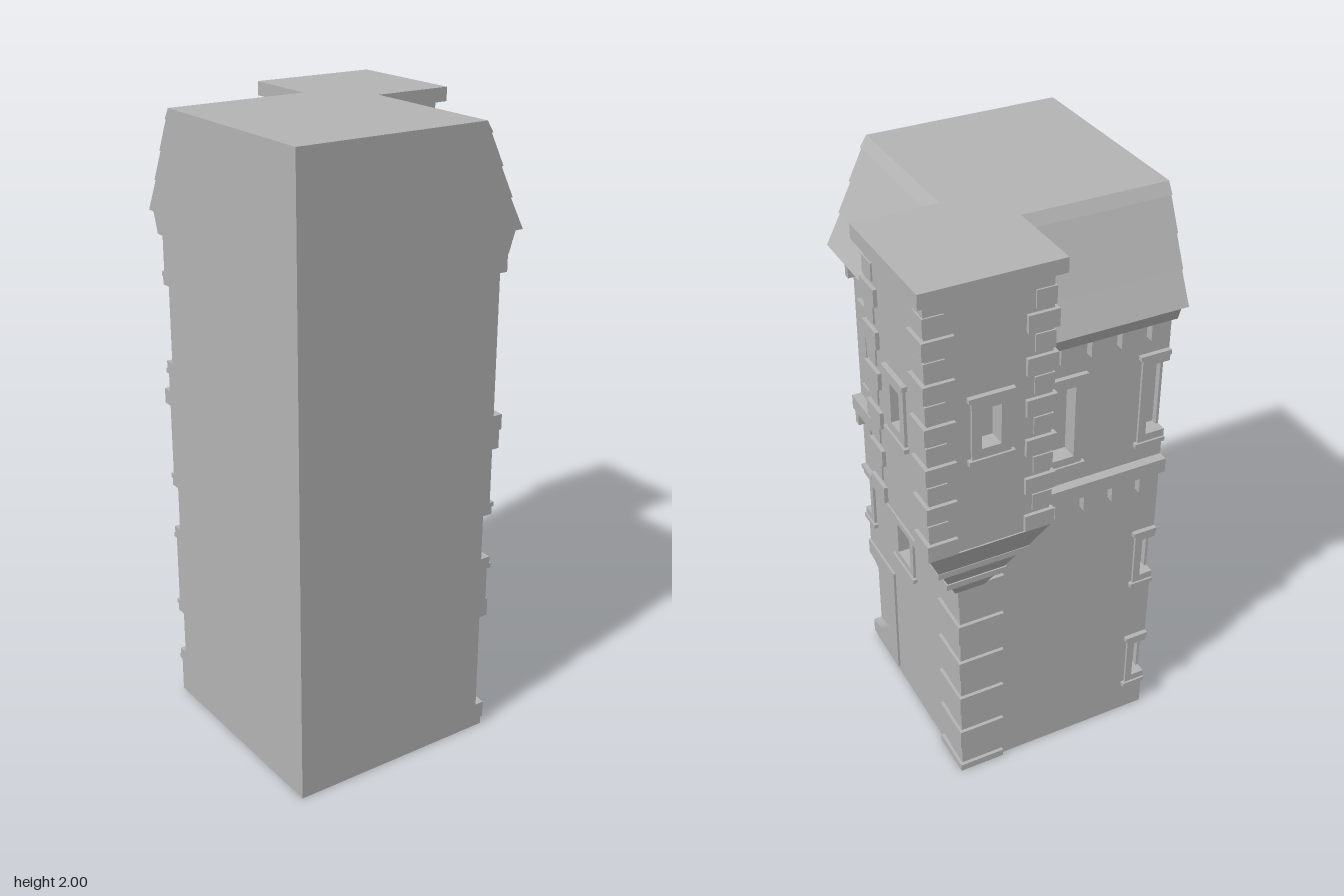
import * as THREE from 'three';

// Outer corner of the two decorated walls, and the corner turret's centre
const CX = 0.255, CZ = -0.275, TX = 0.235, TZ = -0.255, TR = 0.19;
const LENGTH = [0.745, 0.705];   // wall lengths measured from the corner
const DEPTH = 0.045;             // window recess

export function createModel() {
  const model = new THREE.Group();
  model.name = 'cornerTowerBuilding';
  const stone = new THREE.MeshStandardMaterial({ color: 0xb4b4b4 });
  stone.name = 'grey stone';

  const add = (name, geo) => {
    const mesh = new THREE.Mesh(geo, stone);
    mesh.name = name;
    model.add(mesh);
    return mesh;
  };

  const block = (name, x0, x1, y0, y1, z0, z1) => {
    const g = new THREE.BoxGeometry(x1 - x0, y1 - y0, z1 - z0);
    g.translate((x0 + x1) / 2, (y0 + y1) / 2, (z0 + z1) / 2);
    return add(name, g);
  };

  // Wall space (s along wall from corner, y up, d outward) to the model.
  // Side 0 is the right-hand (+x) wall, side 1 the back (-z) wall.
  const place = (name, geo, side) => {
    const g = geo.index ? geo.toNonIndexed() : geo;
    const p = g.attributes.position;
    for (let i = 0; i < p.count; i++) {
      const s = p.getX(i), d = p.getZ(i);
      if (side === 0) p.setXYZ(i, CX + d, p.getY(i), CZ + s);
      else p.setXYZ(i, CX - s, p.getY(i), CZ - d);
    }
    if (side === 0) {
      const a = new THREE.Vector3(), b = new THREE.Vector3();
      for (let i = 0; i < p.count; i += 3) {
        a.fromBufferAttribute(p, i + 1);
        b.fromBufferAttribute(p, i + 2);
        p.setXYZ(i + 1, b.x, b.y, b.z);
        p.setXYZ(i + 2, a.x, a.y, a.z);
      }
    }
    g.computeVertexNormals();
    return add(name, g);
  };

  const wallBox = (name, side, s0, s1, y0, y1, d0, d1) => {
    s1 = Math.min(s1, LENGTH[side]);
    if (s1 - s0 < 0.001) return;
    const g = new THREE.BoxGeometry(s1 - s0, y1 - y0, d1 - d0);
    g.translate((s0 + s1) / 2, (y0 + y1) / 2, (d0 + d1) / 2);
    place(name, g, side);
  };

  const slab = (name, side, shape, d0, d1) => {
    const g = new THREE.ExtrudeGeometry(shape, { depth: d1 - d0, bevelEnabled: false, curveSegments: 24 });
    g.translate(0, 0, d0);
    place(name, g, side);
  };

  const rectHole = (w) => new THREE.Path([
    [w.s - w.half, w.y0], [w.s - w.half, w.y1], [w.s + w.half, w.y1], [w.s + w.half, w.y0],
  ].map(([x, y]) => new THREE.Vector2(x, y)));

  // Frame, lintel, sill and mullion around one opening
  const dressWindow = (w, side, base, mullion) => {
    const f = w.half + w.frame, m = w.frame, o = f + 0.011;
    wallBox('windowJamb', side, w.s - f, w.s - w.half, w.y0 - m, w.y1 + m, base, base + 0.009);
    wallBox('windowJamb', side, w.s + w.half, w.s + f, w.y0 - m, w.y1 + m, base, base + 0.009);
    wallBox('windowHead', side, w.s - w.half, w.s + w.half, w.y1, w.y1 + m, base, base + 0.009);
    wallBox('windowFoot', side, w.s - w.half, w.s + w.half, w.y0 - m, w.y0, base, base + 0.009);
    wallBox('lintel', side, w.s - o, w.s + o, w.y1 + m, w.y1 + m + 0.015, base, base + 0.016);
    wallBox('sill', side, w.s - o, w.s + o, w.y0 - m - 0.015, w.y0 - m, base, base + 0.016);
    if (mullion) wallBox('mullion', side, w.s - 0.009, w.s + 0.009, w.y0, w.y1, base - DEPTH, base - 0.025);
  };

  // Solid cores behind the walls and roof
  block('buildingCore', -0.45, CX - DEPTH, 0, 1.67, CZ + DEPTH, 0.47);
  block('roofCore', -0.45, 0.185, 1.67, 2, -0.205, 0.47);

  const tall = (s) => ({ s, half: 0.068, frame: 0.026, y0: 1.2, y1: 1.45 });
  const small = (s, y0) => ({ s, half: 0.048, frame: 0.025, y0, y1: y0 + 0.15 });
  const windows = [
    [tall(0.585), tall(0.265), small(0.415, 0.62), small(LENGTH[0], 0.62)],
    [tall(0.315), tall(LENGTH[1]), small(LENGTH[1], 0.62), small(LENGTH[1], 0.155)],
  ];
  const ARCH_Y = 0.245, ARCH_R = 0.165;

  for (const side of [0, 1]) {
    const L = LENGTH[side];
    // Wall facing, with half openings cut into its far edge
    const wall = new THREE.Shape();
    wall.moveTo(0, 0);
    wall.lineTo(L, 0);
    if (side === 0) {
      wall.lineTo(L, ARCH_Y - ARCH_R);
      wall.absarc(L, ARCH_Y, ARCH_R, -Math.PI / 2, Math.PI / 2, true);
    }
    windows[side].filter((w) => w.s === L).sort((a, b) => a.y0 - b.y0).forEach((w) => {
      wall.lineTo(L, w.y0);
      wall.lineTo(L - w.half, w.y0);
      wall.lineTo(L - w.half, w.y1);
      wall.lineTo(L, w.y1);
    });
    wall.lineTo(L, 1.67);
    wall.lineTo(0, 1.67);
    windows[side].filter((w) => w.s < L).forEach((w) => wall.holes.push(rectHole(w)));
    slab('wall', side, wall, -DEPTH, 0);
    windows[side].forEach((w) => dressWindow(w, side, 0, true));

    // String course and eaves with their brackets
    wallBox('stringCourse', side, 0, L, 1.05, 1.1, 0, 0.033);
    for (let i = 0; i < 6; i++) {
      const s = 0.23 + i * 0.101;
      wallBox('lowerBracket', side, s - 0.015, s + 0.015, 0.99, 1.05, 0, 0.025);
      wallBox('upperBracket', side, s - 0.013, s + 0.013, 1.55, 1.605, 0, 0.027);
    }

    // Stepped roof slope: profile in (d, y) swept along the wall
    const profile = [
      [-0.08, 2], [-0.07, 2], [-0.048, 1.965], [-0.054, 1.965], [-0.005, 1.865], [-0.012, 1.865],
      [0.035, 1.77], [0.028, 1.77], [0.08, 1.67], [0.052, 1.67], [0.03, 1.605], [-0.08, 1.605],
    ];
    const roof = new THREE.ExtrudeGeometry(
      new THREE.Shape(profile.map(([d, y]) => new THREE.Vector2(d, y))),
      { depth: L - 0.1, bevelEnabled: false });
    roof.rotateY(-Math.PI / 2);           // (d, y, t) -> (-t, y, d)
    roof.translate(L, 0, 0);
    place('roofSlope', roof, side);
  }

  // Round-headed doorway panel, cut through at the front edge
  const panel = new THREE.Shape();
  const L0 = LENGTH[0];
  panel.moveTo(L0 - 0.22, 0.025);
  panel.lineTo(L0, 0.025);
  panel.lineTo(L0, ARCH_Y - ARCH_R);
  panel.absarc(L0, ARCH_Y, ARCH_R, -Math.PI / 2, Math.PI / 2, true);
  panel.lineTo(L0, 0.47);
  panel.lineTo(L0 - 0.22, 0.47);
  slab('archPanel', 0, panel, 0, 0.008);
  wallBox('archBack', 0, L0 - 0.18, L0, 0.07, 0.42, -DEPTH, -0.022);

  // Corner stones: alternate long and short blocks
  for (let i = 0; i < 13; i++) {
    const top = 0.98 - i * 0.0795, long = i % 2 === 0;
    const inward = long ? 0.148 : 0.085, out = long ? 0.012 : 0.005;
    block('cornerStone', CX - inward, CX + out, Math.max(0, top - 0.073), top, CZ - out, CZ + inward);
  }

  // Turret: core, plus window walls on its two outer faces
  block('turretCore', TX - TR, TX + TR - DEPTH, 1.12, 1.96, TZ - TR + DEPTH, TZ + TR);
  const slit = { s: 0.02, half: 0.03, frame: 0.03, y0: 1.465, y1: 1.595 };
  const face = TR - 0.02;
  for (const side of [0, 1]) {
    const s = new THREE.Shape([[-TR, 1.12], [TR, 1.12], [TR, 1.96], [-TR, 1.96]]
      .map(([x, y]) => new THREE.Vector2(0.02 + x, y)));
    s.holes.push(rectHole(slit));
    slab('turretWall', side, s, face - DEPTH, face);
    dressWindow(slit, side, face, false);
  }
  block('turretCap', TX - 0.215, TX + 0.215, 1.955, 2, TZ - 0.215, TZ + 0.215);

  for (const [sx, sz] of [[1, 1], [1, -1], [-1, -1]]) {
    for (let i = 0; i < 12; i++) {
      const long = i % 2 === 0, y = 1.125 + i * 0.0667;
      const a = TR - (long ? 0.083 : 0.057), b = TR + (long ? 0.012 : 0.005);
      const xs = [TX + sx * a, TX + sx * b].sort((p, q) => p - q);
      const zs = [TZ + sz * a, TZ + sz * b].sort((p, q) => p - q);
      block('turretStone', ...xs, y, y + 0.055, ...zs);
    }
  }

  // Stepped corbel under the turret: [y0, y1, lower half width, upper half width]
  for (const [y0, y1, r0, r1] of [
    [0.83, 0.9, 0.05, 0.085], [0.9, 0.92, 0.1, 0.1], [0.92, 1.0, 0.095, 0.135],
    [1.0, 1.02, 0.15, 0.15], [1.02, 1.12, 0.148, 0.195],
  ]) {
    const g = new THREE.CylinderGeometry(r1 * Math.SQRT2, r0 * Math.SQRT2, y1 - y0, 4).toNonIndexed();
    g.rotateY(Math.PI / 4);
    g.translate(TX, (y0 + y1) / 2, TZ);
    g.computeVertexNormals();
    add('corbel', g);
  }

  return model;
}
